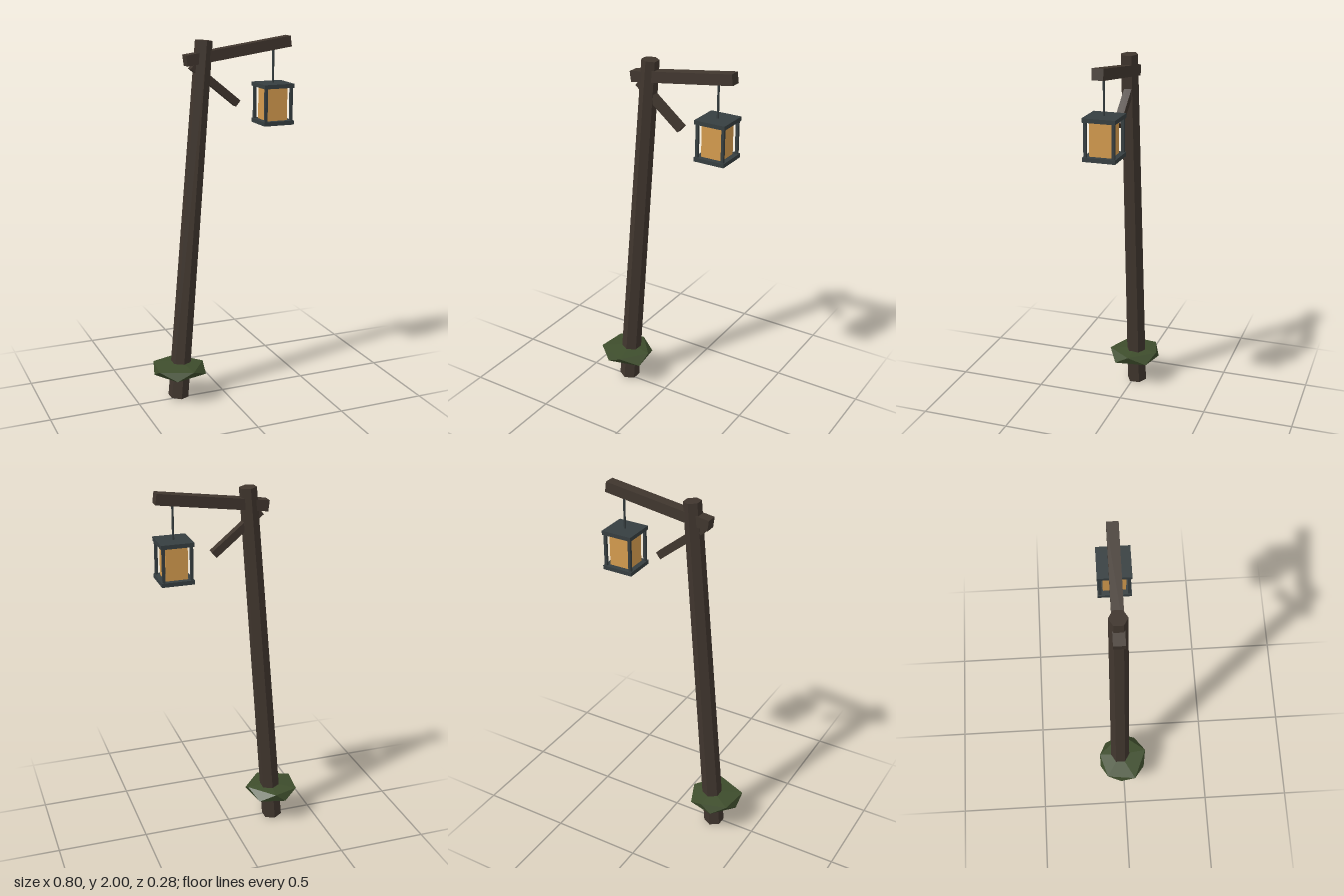
import * as THREE from 'three';

const Z = -0.018; // shared depth of the centre line

function material(name, color) {
  const m = new THREE.MeshStandardMaterial({ color });
  m.name = name;
  return m;
}

// Leafy clump: two staggered five-point rings closed by a top and a bottom point
function clumpGeometry() {
  const upper = [[-0.4, 0.065], [-0.225, 0.137], [-0.12, -0.005], [-0.24, -0.142], [-0.38, -0.1]];
  const lower = [[-0.315, 0.123], [-0.13, 0.075], [-0.155, -0.105], [-0.3, -0.142], [-0.402, -0.02]];
  const U = upper.map(([x, z]) => [x, 0.205, z]);
  const L = lower.map(([x, z]) => [x, 0.158, z]);
  const top = [-0.25, 0.222, Z], bottom = [-0.26, 0.13, Z];
  const p = [];
  for (let i = 0; i < 5; i++) {
    const j = (i + 1) % 5;
    p.push(...U[i], ...U[j], ...top);
    p.push(...U[i], ...L[i], ...U[j]);
    p.push(...L[i], ...L[j], ...U[j]);
    p.push(...L[j], ...L[i], ...bottom);
  }
  const g = new THREE.BufferGeometry();
  g.setAttribute('position', new THREE.Float32BufferAttribute(p, 3));
  g.computeVertexNormals();
  return g;
}

export function createModel() {
  const model = new THREE.Group();
  model.name = 'lanternPost';

  const wood = material('dark wood', 0x40362e);
  const leaf = material('moss green', 0x3e4d2c);
  const metal = material('dark iron', 0x363e40);
  const glass = material('amber glass', 0xd49b4e);
  wood.flatShading = true;
  leaf.flatShading = true;

  const add = (parent, name, geometry, mat, x, y, z = Z, tilt = 0) => {
    const mesh = new THREE.Mesh(geometry, mat);
    mesh.name = name;
    mesh.position.set(x, y, z);
    mesh.rotation.z = tilt;
    parent.add(mesh);
    return mesh;
  };
  const box = (w, h, d) => new THREE.BoxGeometry(w, h, d);

  // Leaning hexagonal post, its crossbeam and the brace
  add(model, 'post', new THREE.CylinderGeometry(0.047, 0.057, 1.988, 6), wood, -0.18, 1.0, Z, -0.083);
  add(model, 'crossbeam', box(0.602, 0.058, 0.06), wood, 0.095, 1.931, Z, 0.137);
  add(model, 'brace', box(0.331, 0.041, 0.041), wood, -0.038, 1.757, Z, -0.686);

  // Clump around the foot
  add(model, 'leafClump', clumpGeometry(), leaf, 0, 0, 0);

  // Hanging lantern
  const lantern = new THREE.Group();
  lantern.name = 'lantern';
  lantern.position.set(0.302, 0, Z);
  model.add(lantern);
  add(lantern, 'hangingRod', new THREE.CylinderGeometry(0.006, 0.006, 0.2, 6), metal, 0, 1.845, 0);
  add(lantern, 'topPlate', box(0.174, 0.022, 0.174), metal, 0, 1.74, 0);
  add(lantern, 'bottomPlate', box(0.174, 0.022, 0.174), metal, 0, 1.541, 0);
  add(lantern, 'glassBody', box(0.118, 0.178, 0.118), glass, 0, 1.6405, 0);
  for (const sx of [-1, 1]) {
    for (const sz of [-1, 1]) {
      add(lantern, 'cornerBar', box(0.015, 0.178, 0.015), metal, sx * 0.074, 1.6405, sz * 0.074);
    }
  }
  return model;
}
